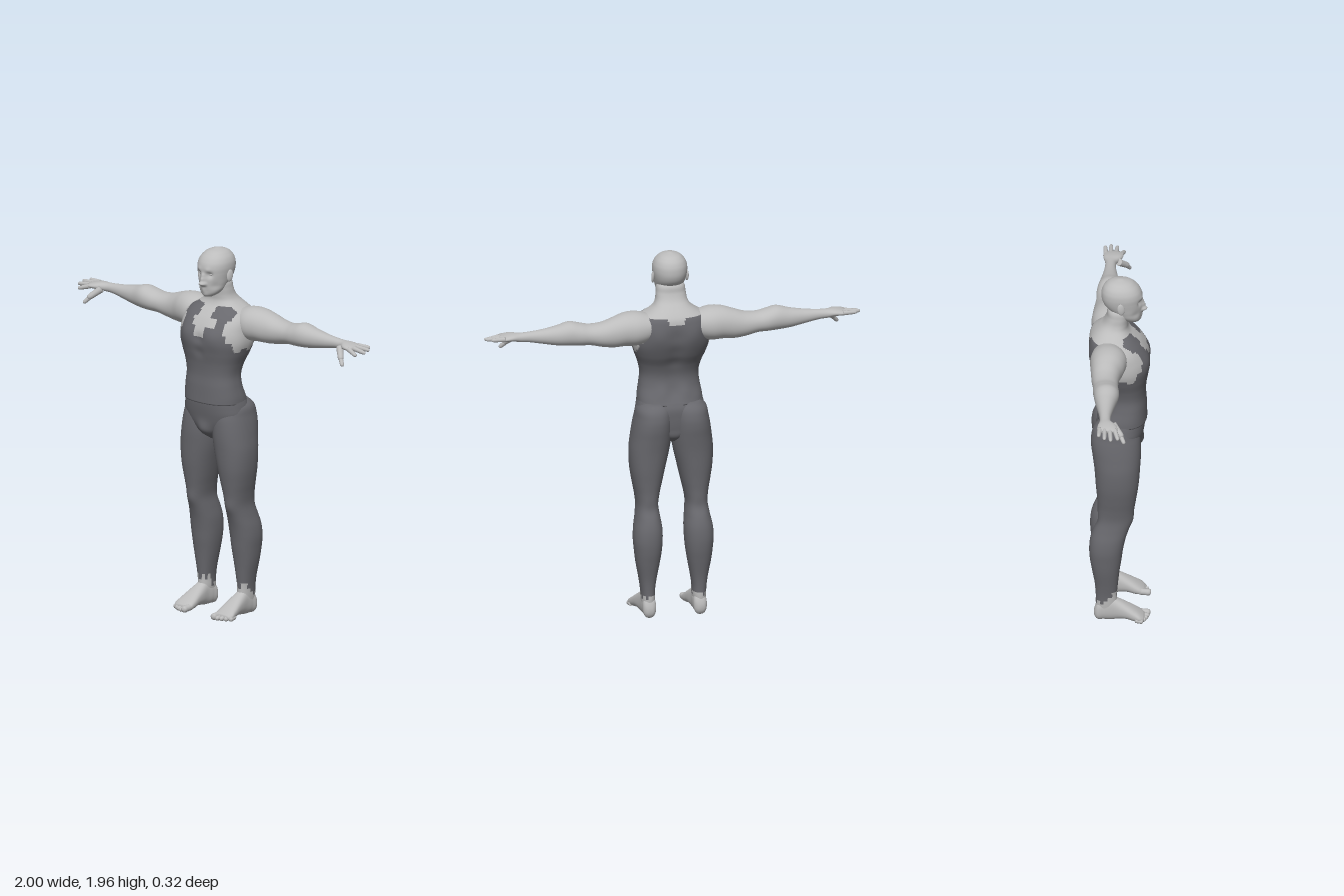
import * as THREE from 'three';

const skin = new THREE.MeshStandardMaterial({ color: 0xbcbcbc });
skin.name = 'skin grey';
const suit = new THREE.MeshStandardMaterial({ color: 0x68686d });
suit.name = 'dark cloth grey';

// Smooth loft along one axis (0 x, 1 y, 2 z). Rows: [t, aMin, aMax, bMin, bMax].
// power < 1 squares the rings; bumps: [x, y, z, radius, dx, dy, dz]; isSkin(p) splits the colours.
function loft(axis, rows, { n = 40, steps = 50, power = 0.9, bumps = [], isSkin } = {}) {
  const curve = new THREE.CubicInterpolant(rows.map(r => r[0]), rows.flatMap(r => r.slice(1)), 4);
  const t0 = rows[0][0], t1 = rows[rows.length - 1][0];
  const points = [], faces = [[], []];
  const put = (t, a, b) => {
    const c = [0, 0, 0];
    c[axis] = t; c[(axis + 2) % 3] = a; c[(axis + 1) % 3] = b;
    const p = new THREE.Vector3(...c), move = new THREE.Vector3();
    for (const [x, y, z, r, dx, dy, dz] of bumps) {
      const d2 = (p.x - x) ** 2 + (p.y - y) ** 2 + (p.z - z) ** 2;
      move.addScaledVector(new THREE.Vector3(dx, dy, dz), Math.exp(-d2 / (r * r)));
    }
    points.push(p.add(move));
  };
  const bend = v => Math.sign(v) * Math.abs(v) ** power;
  for (let i = 0; i <= steps; i++) {
    const t = t0 + (t1 - t0) * i / steps;
    const [a0, a1, b0, b1] = curve.evaluate(t);
    for (let j = 0; j < n; j++) {
      const q = j / n * Math.PI * 2;
      put(t, (a0 + a1) / 2 + (a1 - a0) / 2 * bend(Math.cos(q)), (b0 + b1) / 2 + (b1 - b0) / 2 * bend(Math.sin(q)));
    }
  }
  for (const r of [rows[0], rows[rows.length - 1]]) put(r[0], (r[1] + r[2]) / 2, (r[3] + r[4]) / 2);
  const face = (...ids) => {
    const mid = new THREE.Vector3();
    ids.forEach(i => mid.addScaledVector(points[i], 1 / ids.length));
    const list = faces[isSkin && isSkin(mid) ? 1 : 0];
    list.push(ids[0], ids[1], ids[2]);
    if (ids.length === 4) list.push(ids[0], ids[2], ids[3]);
  };
  const end = (steps + 1) * n;
  for (let j = 0; j < n; j++) {
    const k = (j + 1) % n;
    for (let i = 0; i < steps; i++) face(i * n + j, (i + 1) * n + j, (i + 1) * n + k, i * n + k);
    face(end, j, k);
    face(end + 1, steps * n + k, steps * n + j);
  }
  const g = new THREE.BufferGeometry().setFromPoints(points);
  g.setIndex([...faces[0], ...faces[1]]);
  if (isSkin) {
    g.addGroup(0, faces[0].length, 0);
    g.addGroup(faces[0].length, faces[1].length, 1);
  }
  g.computeVertexNormals();
  return g;
}

// Tapered finger or toe between two points
function digit(from, to, r0, r1) {
  const a = new THREE.Vector3(...from), dir = new THREE.Vector3(...to).sub(a), L = dir.length();
  const ring = (t, r) => [t * L, -r, r, -r, r];
  const g = loft(1, [ring(0, r0), ring(0.5, (r0 + r1) / 2), ring(0.85, r1), ring(0.96, r1 * 0.7), ring(1, r1 * 0.2)],
    { n: 12, steps: 20, power: 1 });
  g.applyQuaternion(new THREE.Quaternion().setFromUnitVectors(new THREE.Vector3(0, 1, 0), dir.normalize()));
  return g.translate(a.x, a.y, a.z);
}

function mirrored(geometry) {
  const g = geometry.clone().scale(-1, 1, 1), ix = g.index;
  for (let i = 0; i < ix.count; i += 3) {
    const b = ix.getX(i + 1);
    ix.setX(i + 1, ix.getX(i + 2));
    ix.setX(i + 2, b);
  }
  g.computeVertexNormals();
  return g;
}

const sym = (y, w, back, front) => [y, -w, w, back, front];
const both = list => list.flatMap(([x, ...r]) => [[x, ...r], [-x, ...r.slice(0, 3), -r[3], ...r.slice(4)]]);

// Torn outline of the sleeveless top
function torsoSkin({ x, y, z }) {
  const w = Math.abs(x);
  if (y > 1.66) return true;
  if (y < 1.435 + 0.015 * (Math.floor((z + 1) * 25) % 2)) return false;
  if (z > 0.02) {
    if (y > 1.605 && w < 0.043) return true;
    if (y > 1.56 && y <= 1.605 && x > -0.062 && x < 0.088) return true;
    if (y > 1.51 && y <= 1.56 && w < 0.034) return true;
    return w > (y > 1.6 ? 0.155 : y > 1.53 ? 0.137 : y > 1.49 ? 0.155 : 0.18);
  }
  if (z < -0.06) return y > (w < 0.045 ? 1.605 : 1.64) || w > (y > 1.59 ? 0.155 : y > 1.5 ? 0.17 : 0.185);
  return true;
}

// Ragged trouser hem, higher at the front
const ankleSkin = ({ x, y, z }) =>
  y < (z > -0.06 ? 0.145 : 0.1) + 0.022 * (Math.floor((x + z + 1) * 45) % 2);

export function createModel() {
  const model = new THREE.Group();
  model.name = 'standing man';
  const add = (name, g, material) => {
    const m = new THREE.Mesh(g, material);
    m.name = name;
    model.add(m);
  };
  const pair = (name, g, material) => {
    add('left ' + name, g, material);
    add('right ' + name, mirrored(g), material);
  };

  // Torso and neck
  add('torso', loft(1, [
    sym(1.15, 0.172, -0.112, 0.143), sym(1.18, 0.17, -0.1, 0.142), sym(1.24, 0.16, -0.077, 0.14),
    sym(1.3, 0.154, -0.074, 0.136), sym(1.36, 0.166, -0.092, 0.14), sym(1.42, 0.188, -0.125, 0.15),
    sym(1.48, 0.205, -0.148, 0.155), sym(1.54, 0.205, -0.158, 0.146), sym(1.6, 0.195, -0.158, 0.114),
    sym(1.635, 0.17, -0.15, 0.082), sym(1.66, 0.13, -0.133, 0.057), sym(1.685, 0.098, -0.11, 0.045),
    sym(1.71, 0.084, -0.087, 0.045), sym(1.75, 0.078, -0.068, 0.05), sym(1.79, 0.07, -0.06, 0.055),
    sym(1.81, 0.05, -0.04, 0.04)], {
    n: 112, steps: 120, power: 0.84, isSkin: torsoSkin,
    bumps: [
      ...both([[0.09, 1.51, 0.14, 0.06, 0, 0, 0.01], [0.1, 1.54, -0.15, 0.06, 0, 0, -0.008], [0.06, 1.22, -0.08, 0.04, 0, 0, -0.006]]),
      [0, 1.5, 0.15, 0.028, 0, 0, -0.008], [0, 1.425, 0.15, 0.03, 0, 0, -0.006],
      ...[1.22, 1.3, 1.38, 1.46, 1.54].map(y => [0, y, -0.12, 0.045, 0, 0, 0.012])],
  }), [suit, skin]);

  // Trousers
  add('trouser seat', loft(1, [
    sym(0.94, 0.025, -0.06, 0.05), sym(0.97, 0.07, -0.1, 0.09), sym(1.02, 0.15, -0.112, 0.112),
    sym(1.08, 0.182, -0.118, 0.126), sym(1.13, 0.178, -0.118, 0.134), sym(1.165, 0.17, -0.106, 0.137)],
  { n: 72, steps: 30, power: 0.85, bumps: [[0, 1.0, 0.11, 0.04, 0, 0, 0.018]] }), suit);
  pair('leg', loft(1, [
    [0.05, 0.108, 0.168, -0.12, -0.02], [0.1, 0.1, 0.172, -0.122, -0.012], [0.15, 0.099, 0.175, -0.122, -0.012],
    [0.2, 0.092, 0.182, -0.125, -0.008], [0.3, 0.074, 0.2, -0.142, 0.003], [0.36, 0.065, 0.207, -0.152, 0.012],
    [0.42, 0.06, 0.212, -0.156, 0.02], [0.48, 0.06, 0.208, -0.151, 0.032], [0.54, 0.068, 0.196, -0.135, 0.05],
    [0.6, 0.075, 0.188, -0.117, 0.068], [0.66, 0.066, 0.194, -0.112, 0.078], [0.72, 0.052, 0.205, -0.115, 0.088],
    [0.8, 0.034, 0.217, -0.122, 0.1], [0.9, 0.012, 0.22, -0.13, 0.108], [0.97, 0.003, 0.212, -0.139, 0.112],
    [1.03, 0.001, 0.203, -0.147, 0.111], [1.08, 0.001, 0.193, -0.146, 0.106], [1.13, 0.005, 0.18, -0.13, 0.09],
    [1.16, 0.02, 0.15, -0.1, 0.07]], {
    n: 56, steps: 110, isSkin: ankleSkin,
    bumps: [[0.13, 0.59, 0.065, 0.04, 0, 0, 0.006], [0.13, 0.58, -0.12, 0.04, 0, 0, 0.008]],
  }), [suit, skin]);

  // Feet and toes
  pair('foot', loft(2, [
    [-0.13, 0.025, 0.06, 0.12, 0.152], [-0.12, 0.006, 0.09, 0.106, 0.165], [-0.08, 0, 0.125, 0.1, 0.17],
    [-0.04, 0, 0.135, 0.1, 0.173], [0, 0.006, 0.115, 0.095, 0.18], [0.04, 0.008, 0.092, 0.09, 0.188],
    [0.08, 0, 0.067, 0.085, 0.196], [0.11, 0, 0.046, 0.086, 0.2], [0.13, 0.004, 0.03, 0.095, 0.185]], { n: 36, power: 0.85 }), skin);
  for (let i = 0; i < 5; i++) {
    const x = 0.103 + i * 0.0215, r = i ? 0.0115 : 0.0165;
    pair('toe ' + (i + 1), digit([x, r + 0.006, 0.1 - i * 0.004], [x + i * 0.001, r, 0.161 - i * 0.003 - i * i * 0.0015], r * 1.1, r), skin);
  }

  // Arms with palms
  pair('arm', loft(0, [
    [0.08, -0.12, 0, 1.55, 1.635], [0.14, -0.14, 0.025, 1.505, 1.653], [0.2, -0.15, 0.04, 1.487, 1.665],
    [0.26, -0.147, 0.03, 1.489, 1.662], [0.32, -0.143, 0.01, 1.488, 1.645], [0.38, -0.138, 0, 1.496, 1.626],
    [0.45, -0.13, 0, 1.51, 1.62], [0.5, -0.13, 0.005, 1.511, 1.63], [0.55, -0.125, 0.005, 1.513, 1.64],
    [0.62, -0.114, -0.01, 1.52, 1.624], [0.7, -0.1, -0.025, 1.535, 1.61], [0.78, -0.09, -0.034, 1.55, 1.602],
    [0.82, -0.09, -0.03, 1.553, 1.6], [0.86, -0.099, -0.003, 1.56, 1.6], [0.9, -0.101, 0.004, 1.562, 1.594],
    [0.92, -0.096, -0.002, 1.567, 1.588]], { n: 48, steps: 100, power: 0.95 }), skin);
  const fingers = [
    ['index finger', [0.9, 1.576, -0.01], [0.968, 1.556, 0.008]],
    ['middle finger', [0.9, 1.579, -0.036], [1.0, 1.568, -0.029]],
    ['ring finger', [0.9, 1.58, -0.062], [0.998, 1.577, -0.062]],
    ['little finger', [0.9, 1.58, -0.088], [0.975, 1.582, -0.092]],
    ['thumb base', [0.83, 1.572, -0.02], [0.882, 1.522, 0.03]],
    ['thumb tip', [0.866, 1.535, 0.016], [0.902, 1.495, 0.04]]];
  for (const [name, from, to] of fingers) {
    const thick = name === 'thumb base' ? 0.019 : 0.013;
    pair(name, digit(from, to, thick, thick * 0.75), skin);
  }

  // Head with modelled face
  add('head', loft(1, [
    sym(1.713, 0.022, 0.05, 0.094), sym(1.725, 0.042, 0.02, 0.104), sym(1.75, 0.064, -0.012, 0.11),
    sym(1.78, 0.074, -0.045, 0.114), sym(1.81, 0.081, -0.076, 0.116), sym(1.84, 0.087, -0.091, 0.117),
    sym(1.87, 0.09, -0.095, 0.117), sym(1.9, 0.086, -0.091, 0.108), sym(1.93, 0.069, -0.074, 0.084),
    sym(1.95, 0.042, -0.045, 0.052), sym(1.96, 0.008, -0.008, 0.014)], {
    n: 112, steps: 100, power: 0.94,
    bumps: [
      ...both([[0.034, 1.836, 0.105, 0.017, 0, 0, -0.013], [0.03, 1.859, 0.112, 0.016, 0, 0, 0.004],
        [0.013, 1.785, 0.115, 0.009, 0.002, 0, 0.01], [0.05, 1.775, 0.08, 0.025, -0.005, 0, -0.004]]),
      [0, 1.788, 0.115, 0.014, 0, 0, 0.026], [0, 1.812, 0.115, 0.013, 0, 0, 0.015], [0, 1.832, 0.115, 0.012, 0, 0, 0.008],
      [0, 1.76, 0.112, 0.013, 0, 0, 0.006], [0, 1.745, 0.11, 0.012, 0, 0, 0.005], [0, 1.722, 0.1, 0.018, 0, 0, 0.006]],
  }), skin);
  const eye = new THREE.SphereGeometry(0.011, 20, 14).scale(1.2, 0.6, 0.8).translate(0.034, 1.836, 0.092);
  pair('eye', eye, skin);
  const ear = new THREE.SphereGeometry(0.032, 20, 16).scale(0.25, 1, 0.6).rotateY(-0.25).rotateX(-0.15).translate(0.09, 1.825, 0.008);
  pair('ear', ear, skin);
  return model;
}
